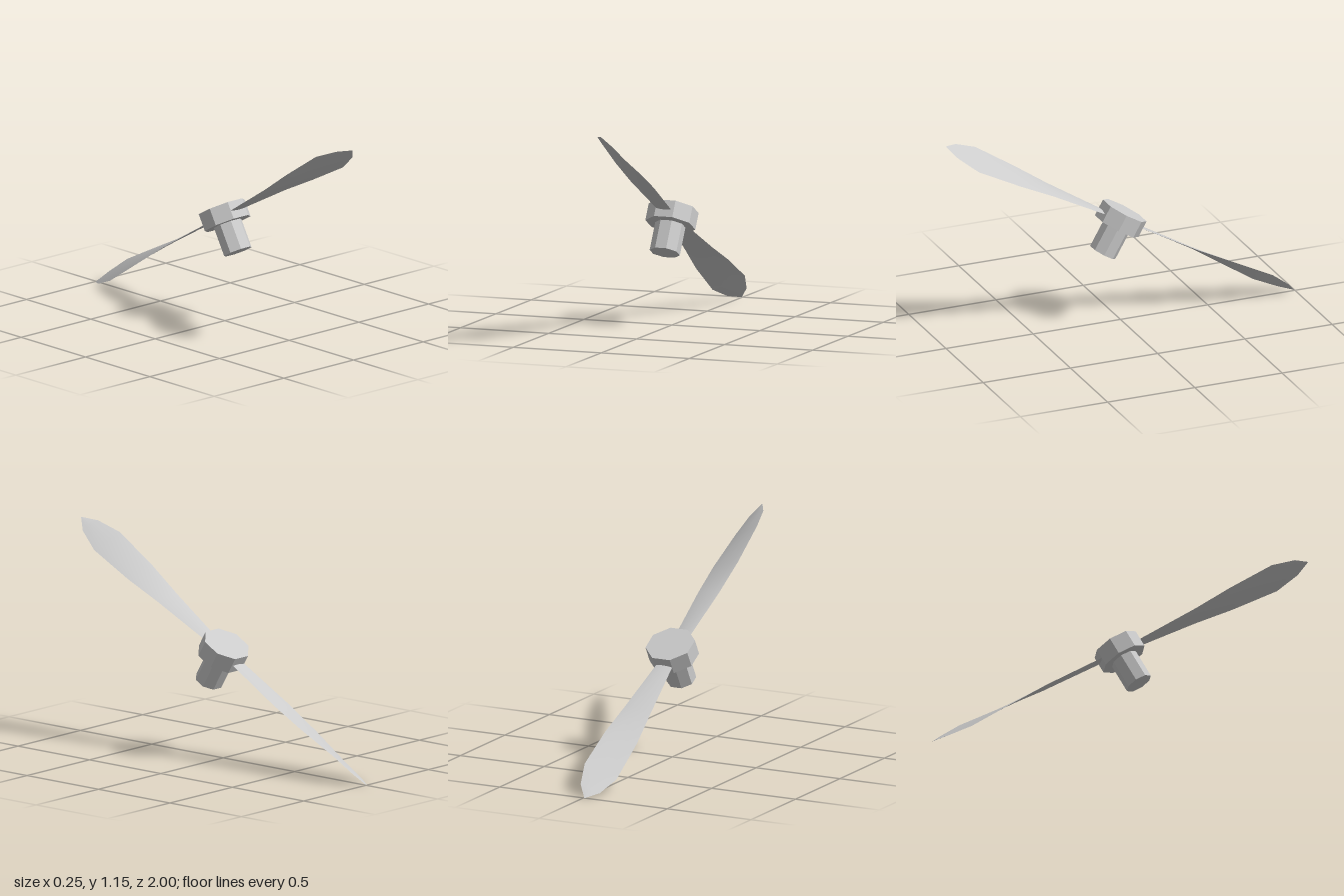
import * as THREE from 'three';

const material = new THREE.MeshStandardMaterial({ color: 0xcccccc, side: THREE.DoubleSide });
const flatMaterial = new THREE.MeshStandardMaterial({ color: 0xcccccc, flatShading: true });

// Blade stations: distance from hub, half width, rise of the twisted edge
const stations = [
  [0.10, 0.042, 0.002],
  [0.46, 0.068, 0.014],
  [0.68, 0.081, 0.030],
  [0.946, 0.077, 0.045],
  [1.08, 0.047, 0.025],
  [1.153, 0.002, 0.0],
];

// One face of a thin twisted blade running along +z; side is 1 for upper, -1 for lower
function bladeFace(widthScale, shift, side) {
  const positions = [];
  const index = [];
  const cols = 5;
  stations.forEach(([dist, halfWidth, rise], j) => {
    const thickness = j === stations.length - 1 ? 0 : 0.004;
    for (let i = 0; i < cols; i++) {
      const t = (i / (cols - 1)) * 2 - 1;
      positions.push(t * halfWidth * widthScale + shift, -t * rise + side * thickness * (1 - t * t), dist);
      if (j > 0 && i > 0) {
        const d = j * cols + i, c = d - 1, b = d - cols, a = b - 1;
        if (side > 0) index.push(a, c, b, b, c, d);
        else index.push(a, b, c, b, d, c);
      }
    }
  });
  const geometry = new THREE.BufferGeometry();
  geometry.setAttribute('position', new THREE.Float32BufferAttribute(positions, 3));
  geometry.setIndex(index);
  geometry.computeVertexNormals();
  return geometry;
}

function makeBlade(name, widthScale, shift) {
  const blade = new THREE.Group();
  blade.name = name;
  for (const side of [1, -1]) {
    const face = new THREE.Mesh(bladeFace(widthScale, shift, side), material);
    face.name = side > 0 ? 'bladeUpperFace' : 'bladeLowerFace';
    blade.add(face);
  }
  return blade;
}

// Eight-sided prism with flats facing the axes
function octagonPrism(name, apothem, depthScale, bottom, top) {
  const radius = apothem / Math.cos(Math.PI / 8);
  const geometry = new THREE.CylinderGeometry(radius, radius, top - bottom, 8);
  geometry.rotateY(Math.PI / 8);
  geometry.scale(1, 1, depthScale);
  geometry.translate(0, (top + bottom) / 2, 0);
  const mesh = new THREE.Mesh(geometry, flatMaterial);
  mesh.name = name;
  return mesh;
}

export function createModel() {
  const model = new THREE.Group();
  model.name = 'propeller';

  // Everything is built upright, then tilted back
  const tilted = new THREE.Group();
  tilted.name = 'tiltedAssembly';
  tilted.position.y = 0.577;
  tilted.rotation.x = -Math.PI / 6;
  model.add(tilted);

  tilted.add(octagonPrism('hub', 0.125, 0.95, -0.044, 0.05));
  tilted.add(octagonPrism('shaft', 0.076, 0.9, -0.202, -0.04));

  const frontBlade = makeBlade('frontBlade', 1, -0.006);
  const rearBlade = makeBlade('rearBlade', 1.07, 0.006);
  rearBlade.rotation.y = Math.PI;
  tilted.add(frontBlade, rearBlade);

  return model;
}
